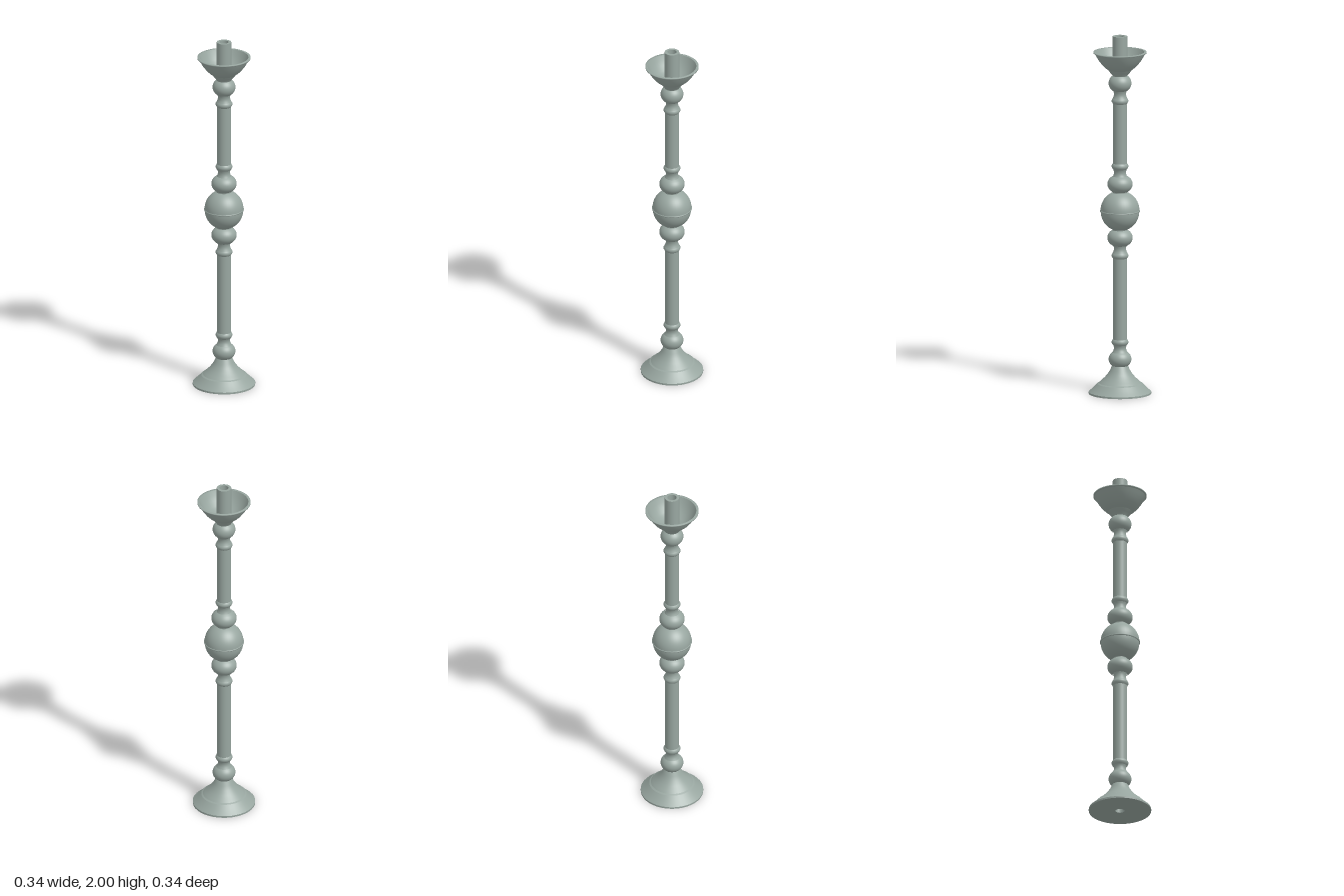
import * as THREE from 'three';

const BORE = 0.025;

export function createModel() {
  const group = new THREE.Group();
  const metal = new THREE.MeshStandardMaterial({ color: 0x98a6a0 });
  metal.name = 'grey green metal';

  // Turns a list of [radius, height] points around the vertical axis
  const turn = (name, points) => {
    const profile = points.map(([r, y]) => new THREE.Vector2(r, y));
    const mesh = new THREE.Mesh(new THREE.LatheGeometry(profile, 40), metal);
    mesh.name = name;
    group.add(mesh);
  };

  // Rounded bulge: part of an ellipse between two heights
  const bulge = (name, radius, centre, half, from = -1, to = 1, end = 0.04) => {
    const limit = Math.acos(end / radius);
    const points = [];
    for (let i = 0; i <= 12; i++) {
      const a = limit * (from + (to - from) * i / 12);
      points.push([radius * Math.cos(a), centre + half * Math.sin(a) / Math.sin(limit)]);
    }
    turn(name, points);
  };

  // Slim collar ring
  const collar = (name, y) => turn(name, [
    [0.037, y - 0.018], [0.042, y - 0.012], [0.046, y - 0.004],
    [0.046, y + 0.004], [0.042, y + 0.012], [0.037, y + 0.018]]);

  // Concave neck between a bulge and a collar
  const neck = (name, y0, y1) => {
    const h = y1 - y0;
    turn(name, [[0.044, y0], [0.036, y0 + h * 0.25], [0.033, y0 + h * 0.5],
      [0.035, y0 + h * 0.75], [0.041, y1]]);
  };

  // Stepped foot
  turn('footUnderside', [[BORE, 0], [0.172, 0]]);
  turn('footEdge', [[0.172, 0], [0.172, 0.01]]);
  turn('footLower', [[0.172, 0.01], [0.158, 0.022], [0.142, 0.037], [0.125, 0.055]]);
  turn('footStep', [[0.125, 0.055], [0.116, 0.06]]);
  turn('footUpper', [[0.116, 0.06], [0.104, 0.072], [0.085, 0.089], [0.068, 0.11],
    [0.054, 0.132], [0.046, 0.152], [0.04, 0.16]]);

  // Lower stem
  bulge('footKnop', 0.063, 0.192, 0.04);
  neck('footNeck', 0.228, 0.278);
  collar('lowerShaftBottomCollar', 0.288);
  turn('lowerShaft', [[0.039, 0.295], [0.039, 0.765]]);
  collar('lowerShaftTopCollar', 0.772);
  neck('lowerMiddleNeck', 0.78, 0.838);

  // Middle knop: a seamed ball between two flattened bulges
  bulge('lowerMiddleKnop', 0.07, 0.872, 0.044);
  turn('lowerMiddleJoint', [[0.042, 0.905], [0.042, 0.935]]);
  bulge('ballLowerHalf', 0.106, 1.018, 0.1, -1, 0);
  turn('ballSeam', [[0.106, 1.018], [0.11, 1.019], [0.11, 1.024], [0.106, 1.025]]);
  bulge('ballUpperHalf', 0.107, 1.025, 0.1, 0, 1);
  turn('upperMiddleJoint', [[0.042, 1.115], [0.042, 1.14]]);
  bulge('upperMiddleKnop', 0.07, 1.172, 0.044);

  // Upper stem
  neck('upperMiddleNeck', 1.208, 1.262);
  collar('upperShaftBottomCollar', 1.272);
  turn('upperShaft', [[0.039, 1.28], [0.039, 1.63]]);
  collar('upperShaftTopCollar', 1.638);
  neck('cupNeck', 1.646, 1.702);
  bulge('cupKnop', 0.063, 1.737, 0.042);

  // Flared drip cup
  turn('cupStem', [[0.04, 1.775], [0.044, 1.785], [0.055, 1.797], [0.066, 1.812]]);
  turn('cupOutside', [[0.066, 1.812], [0.082, 1.824], [0.1, 1.842], [0.118, 1.866],
    [0.131, 1.888], [0.14, 1.904]]);
  turn('cupLip', [[0.14, 1.904], [0.147, 1.906], [0.147, 1.912], [0.134, 1.912]]);
  turn('cupInside', [[0.134, 1.912], [0.122, 1.886], [0.106, 1.861], [0.087, 1.84],
    [0.064, 1.824], [0.038, 1.815]]);

  // Candle socket and the bore that runs through the whole piece
  turn('socketWall', [[0.04, 1.81], [0.04, 2]]);
  turn('socketRim', [[0.04, 2], [BORE, 2]]);
  turn('bore', [[BORE, 2], [BORE, 0]]);

  return group;
}
